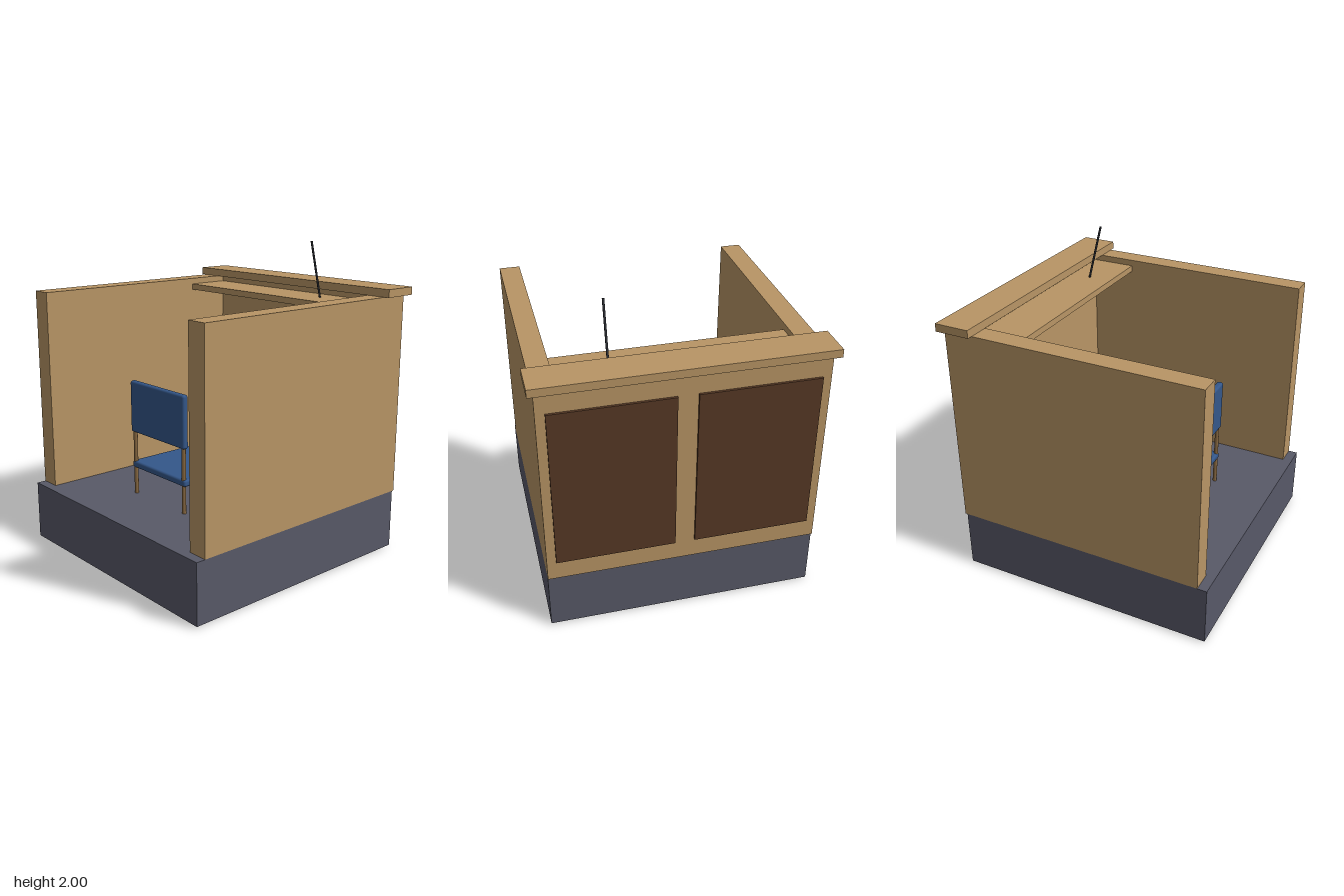
import * as THREE from 'three';
import { RoundedBoxGeometry } from 'three/addons/geometries/RoundedBoxGeometry.js';

function material(name, color) {
  const m = new THREE.MeshStandardMaterial({ color });
  m.name = name;
  return m;
}

export function createModel() {
  const wood = material('lightWood', 0xb89565);
  const plinth = material('slateGrey', 0x585968);
  const panelWood = material('darkWood', 0x563825);
  const fabric = material('blueFabric', 0x34578a);
  const legWood = material('chairLegBrown', 0x8a6a42);
  const black = material('charcoal', 0x2b2d33);

  const model = new THREE.Group();
  model.name = 'witnessStand';

  const add = (parent, name, geometry, mat) => {
    const mesh = new THREE.Mesh(geometry, mat);
    mesh.name = name;
    parent.add(mesh);
    return mesh;
  };

  // Box given by its extents on each axis; a radius rounds its edges
  const block = (parent, name, mat, [x0, x1], [y0, y1], [z0, z1], radius = 0) => {
    const size = [x1 - x0, y1 - y0, z1 - z0];
    const geometry = radius
      ? new RoundedBoxGeometry(...size, 3, radius)
      : new THREE.BoxGeometry(...size);
    geometry.translate((x0 + x1) / 2, (y0 + y1) / 2, (z0 + z1) / 2);
    return add(parent, name, geometry, mat);
  };

  // Round rod between two points
  const rod = (parent, name, mat, from, to, radius) => {
    const a = new THREE.Vector3(...from);
    const b = new THREE.Vector3(...to);
    const dir = b.clone().sub(a);
    const mesh = add(parent, name, new THREE.CylinderGeometry(radius, radius, dir.length(), 12), mat);
    mesh.position.copy(a).add(b).multiplyScalar(0.5);
    mesh.quaternion.setFromUnitVectors(new THREE.Vector3(0, 1, 0), dir.normalize());
  };

  // Raised platform
  block(model, 'platform', plinth, [-0.835, 0.835], [0.01, 0.39], [-0.81, 0.86]);

  // Booth walls, top rail and inner shelf
  block(model, 'backWall', wood, [-0.835, 0.835], [0.39, 1.68], [-0.825, -0.69]);
  block(model, 'rightWall', wood, [-0.835, -0.705], [0.39, 1.68], [-0.69, 0.8]);
  block(model, 'leftWall', wood, [0.705, 0.835], [0.39, 1.68], [-0.69, 0.8]);
  block(model, 'topRail', wood, [-0.87, 0.87], [1.68, 1.73], [-0.86, -0.635]);
  block(model, 'shelf', wood, [-0.705, 0.705], [1.6, 1.64], [-0.69, -0.4]);

  // Dark panels on the outside of the back wall
  block(model, 'rightPanel', panelWood, [-0.78, -0.06], [0.52, 1.55], [-0.84, -0.825]);
  block(model, 'leftPanel', panelWood, [0.06, 0.78], [0.52, 1.55], [-0.84, -0.825]);

  // Microphone stalk leaning towards the seat
  rod(model, 'microphone', black, [0.383, 1.635, -0.557], [0.383, 2, -0.464], 0.007);

  // Chair facing the shelf: the legs under the backrest run up to it
  const chair = new THREE.Group();
  chair.name = 'chair';
  model.add(chair);
  block(chair, 'seat', fabric, [-0.267, 0.267], [0.565, 0.61], [-0.053, 0.48], 0.015);
  block(chair, 'backrest', fabric, [-0.267, 0.267], [0.805, 1.14], [0.443, 0.485], 0.015);
  for (const x of [-0.244, 0.244]) {
    rod(chair, 'seatLeg', legWood, [x, 0, -0.02], [x, 0.58, -0.02], 0.0133);
    rod(chair, 'backrestLeg', legWood, [x, 0, 0.465], [x, 0.83, 0.465], 0.0133);
  }

  return model;
}
